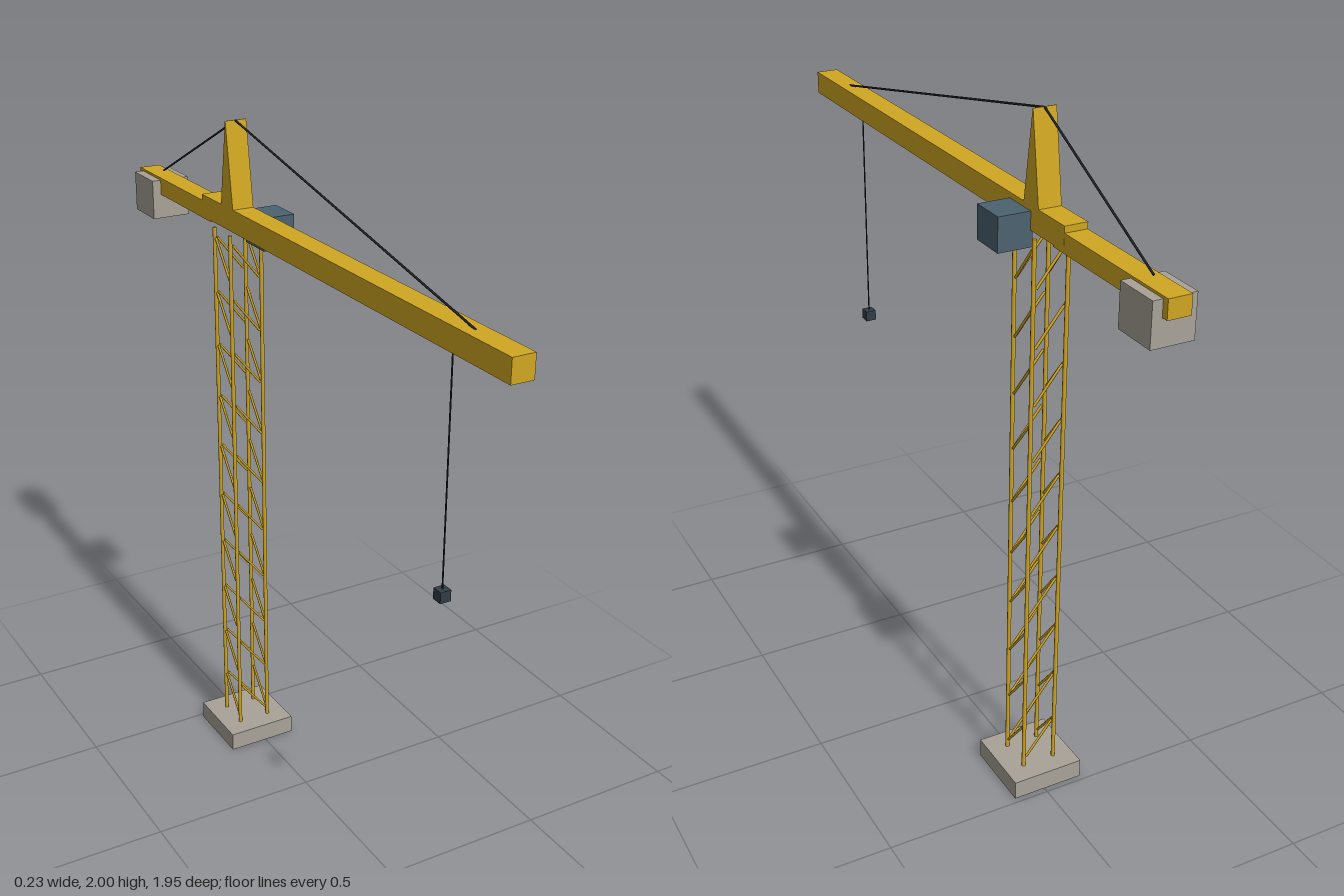
import * as THREE from 'three';

const CX = -0.011; // tower axis
const CZ = -0.376;

export function createModel() {
  const crane = new THREE.Group();
  crane.name = 'towerCrane';

  const material = (name, color) => {
    const m = new THREE.MeshStandardMaterial({ color });
    m.name = name;
    return m;
  };
  const yellow = material('craneYellow', 0xd0a622);
  const concrete = material('concrete', 0xa8a298);
  const cabinBlue = material('cabinBlue', 0x4c6270);
  const hookDark = material('hookDark', 0x323c46);
  const cableDark = material('cableDark', 0x202124);

  const add = (name, geometry, mat, parent = crane) => {
    const mesh = new THREE.Mesh(geometry, mat);
    mesh.name = name;
    parent.add(mesh);
    return mesh;
  };
  // Box given by its lower and upper corners
  const box = (name, a, b, mat) => {
    const mesh = add(name, new THREE.BoxGeometry(b[0] - a[0], b[1] - a[1], b[2] - a[2]), mat);
    mesh.position.set((a[0] + b[0]) / 2, (a[1] + b[1]) / 2, (a[2] + b[2]) / 2);
    return mesh;
  };
  // Round rod between two points
  const rod = (name, a, b, radius, mat, parent = crane, sides = 8) => {
    const from = new THREE.Vector3(...a), to = new THREE.Vector3(...b);
    const dir = to.clone().sub(from);
    const mesh = add(name, new THREE.CylinderGeometry(radius, radius, dir.length(), sides), mat, parent);
    mesh.position.copy(from).add(to).multiplyScalar(0.5);
    mesh.quaternion.setFromUnitVectors(new THREE.Vector3(0, 1, 0), dir.normalize());
    return mesh;
  };

  // Foundation
  box('base', [CX - 0.108, 0, CZ - 0.108], [CX + 0.108, 0.057, CZ + 0.108], concrete);

  // Lattice mast: four legs and one diagonal per side in each bay
  const mast = new THREE.Group();
  mast.name = 'mast';
  crane.add(mast);
  const half = 0.049, bottom = 0.057, top = 1.69, bays = 10;
  for (const sx of [-1, 1]) {
    for (const sz of [-1, 1]) {
      const x = CX + sx * half, z = CZ + sz * half;
      rod('mastLeg', [x, bottom, z], [x, top, z], 0.006, yellow, mast);
    }
  }
  const bay = (top - bottom) / bays;
  for (let i = 0; i < bays; i++) {
    const y = bottom + (i + 0.5) * bay;
    for (const s of [-1, 1]) {
      const x = CX + s * half, z = CZ + s * half;
      rod('crossBrace', [CX - 0.041, y + 0.052, z], [CX + 0.041, y - 0.052, z], 0.0038, yellow, mast, 6);
      rod('sideBrace', [x, y + 0.052, CZ - 0.041], [x, y - 0.052, CZ + 0.041], 0.0038, yellow, mast, 6);
    }
  }

  // Jib and counter jib
  box('jib', [CX - 0.0325, 1.693, -0.537], [CX + 0.0325, 1.758, 0.976], yellow);
  box('counterJib', [CX - 0.032, 1.688, -0.974], [CX + 0.032, 1.74, -0.484], yellow);
  box('counterweight', [CX - 0.059, 1.615, -0.955], [CX + 0.059, 1.733, -0.825], concrete);

  // Wedge-shaped apex above the mast
  const wedge = new THREE.Shape();
  wedge.moveTo(-0.038, 1.75);
  wedge.lineTo(0.038, 1.75);
  wedge.lineTo(0.001, 2);
  wedge.lineTo(-0.001, 2);
  wedge.closePath();
  const apex = add('apex', new THREE.ExtrudeGeometry(wedge, { depth: 0.065, bevelEnabled: false }), yellow);
  apex.rotation.y = Math.PI / 2;
  apex.position.set(CX - 0.0325, 0, CZ);

  // Operator cabin
  box('cabin', [0.016, 1.648, -0.376], [0.113, 1.743, -0.268], cabinBlue);

  // Stay cables
  rod('jibStay', [CX, 1.998, CZ], [CX, 1.757, 0.795], 0.003, cableDark);
  rod('counterStay', [CX, 1.998, CZ], [CX, 1.75, -0.868], 0.003, cableDark);

  // Hoist cable and hook block
  rod('hoistCable', [CX, 1.7, 0.709], [CX, 1.04, 0.709], 0.0022, cableDark);
  box('hookBlock', [CX - 0.016, 1.017, 0.693], [CX + 0.016, 1.049, 0.725], hookDark);

  return crane;
}
